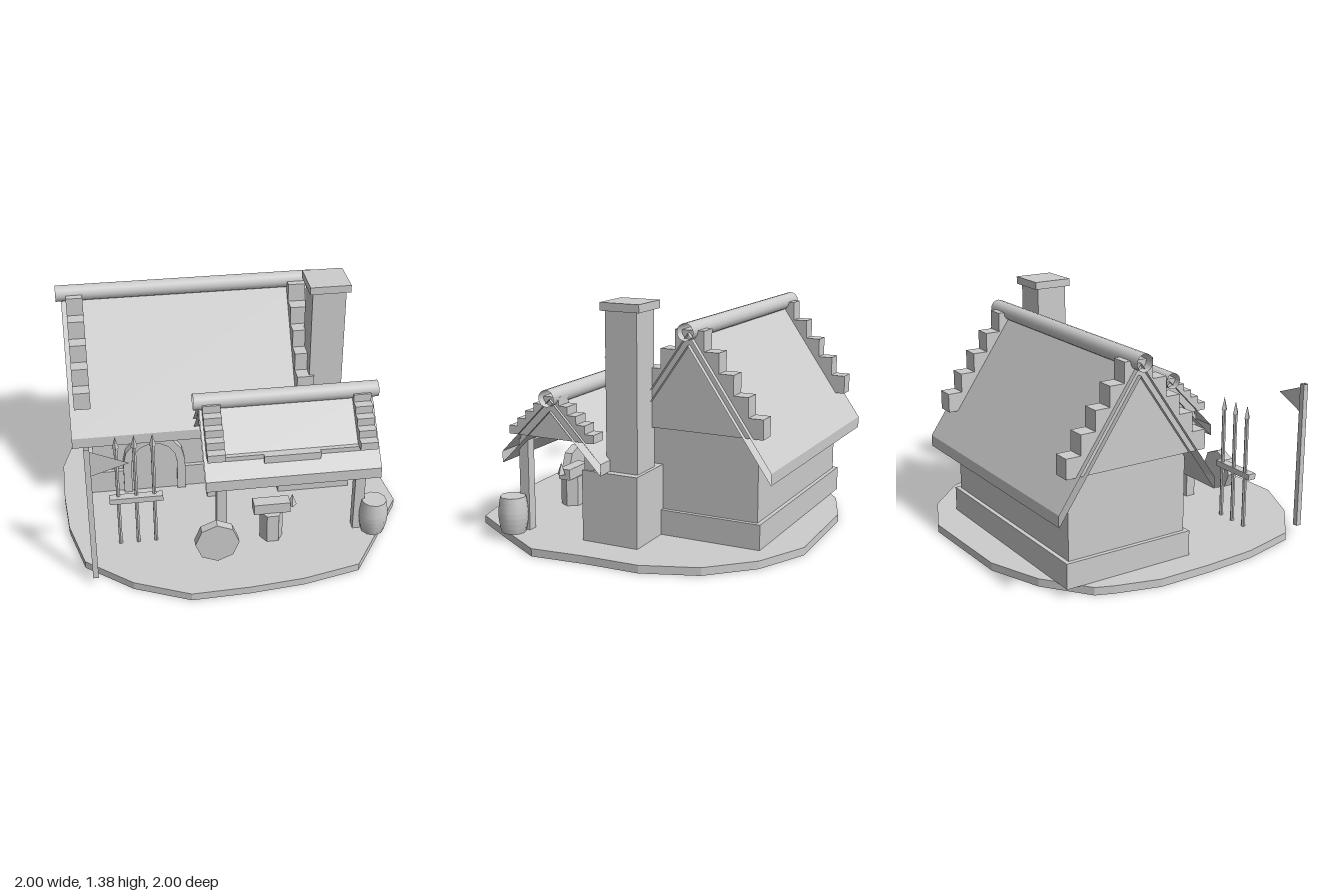
import * as THREE from 'three';

const grey = new THREE.MeshStandardMaterial({ color: 0xcccccc });
grey.name = 'grey';
const greySheet = new THREE.MeshStandardMaterial({ color: 0xcccccc, side: THREE.DoubleSide });
greySheet.name = 'greySheet';

export function createModel() {
  const model = new THREE.Group();
  const ground = 0.045;

  function add(name, geometry, material = grey) {
    const mesh = new THREE.Mesh(geometry, material);
    mesh.name = name;
    model.add(mesh);
    return mesh;
  }

  // Faceted copy of a round geometry
  function facet(geometry) {
    const g = geometry.toNonIndexed();
    g.computeVertexNormals();
    return g;
  }

  // Box given by its limits on each axis
  function box(name, x0, x1, y0, y1, z0, z1) {
    const g = new THREE.BoxGeometry(x1 - x0, y1 - y0, z1 - z0);
    return add(name, g.translate((x0 + x1) / 2, (y0 + y1) / 2, (z0 + z1) / 2));
  }

  // Solid with a (z, y) outline running along x
  function prism(outline, x0, x1) {
    const shape = new THREE.Shape(outline.map(([z, y]) => new THREE.Vector2(z, y)));
    const g = new THREE.ExtrudeGeometry(shape, { depth: x1 - x0, bevelEnabled: false });
    return g.rotateY(-Math.PI / 2).translate(x1, 0, 0);
  }

  // Closed (z, y) outline swept along x, open at both ends
  function sleeve(name, outline, x0, x1) {
    const p = [];
    outline.forEach(([z, y], i) => {
      const [w, v] = outline[(i + 1) % outline.length];
      p.push(x0, y, z, x1, y, z, x1, v, w, x0, y, z, x1, v, w, x0, v, w);
    });
    const g = new THREE.BufferGeometry();
    g.setAttribute('position', new THREE.Float32BufferAttribute(p, 3));
    g.computeVertexNormals();
    return add(name, g, greySheet);
  }

  // Roof slabs and hollow ridge roll
  function roof(name, x0, x1, zc, half, eave, apex, ridgeY) {
    const t = 0.066;
    sleeve(name, [
      [zc + half, eave], [zc, apex], [zc - half, eave],
      [zc - half, eave - t], [zc, apex - t], [zc + half, eave - t],
    ], x0, x1);
    const roll = new THREE.CylinderGeometry(0.048, 0.048, x1 - x0 + 0.062, 16, 1, true);
    add(name + 'Ridge', roll.rotateZ(Math.PI / 2).translate((x0 + x1) / 2, ridgeY, zc), greySheet);
  }

  // Stepped gable: five courses narrowing to the top, open underneath
  function steppedGable(name, x0, x1, zc, step, y0, y1) {
    const right = [];
    for (let i = 0; i < 5; i++) {
      const w = step * (5 - i);
      right.push([w, y0 + (y1 - y0) * i / 5], [w, y0 + (y1 - y0) * (i + 1) / 5]);
    }
    const left = right.map(([z, y]) => [-z, y]).reverse();
    const solid = prism([...right, ...left].map(([z, y]) => [zc + z, y]), x0, x1);
    const p = solid.attributes.position;
    const kept = [];
    for (let i = 0; i < p.count; i += 3) {
      const corners = [i, i + 1, i + 2];
      if (corners.every((k) => p.getY(k) < y0 + 1e-4)) continue;
      for (const k of corners) kept.push(p.getX(k), p.getY(k), p.getZ(k));
    }
    const g = new THREE.BufferGeometry();
    g.setAttribute('position', new THREE.Float32BufferAttribute(kept, 3));
    g.computeVertexNormals();
    add(name, g);
  }

  // Ground slab
  const rim = [
    [-0.33, -0.98], [0.31, -1], [0.615, -0.862], [0.845, -0.63], [0.962, -0.32], [0.97, 0],
    [1, 0.32], [0.8, 0.64], [0.64, 0.885], [0.31, 0.96], [0, 0.99], [-0.33, 1],
    [-0.64, 0.86], [-0.9, 0.64], [-0.98, 0.31], [-1, 0], [-1, -0.32], [-0.93, -0.57],
    [-0.89, -0.67], [-0.64, -0.862],
  ];
  const slab = new THREE.Shape(rim.map(([x, z]) => new THREE.Vector2(x, -z)));
  add('ground', new THREE.ExtrudeGeometry(slab, { depth: ground, bevelEnabled: false }).rotateX(-Math.PI / 2));

  // Main house
  box('plinth', -0.835, 0.468, ground, 0.19, -0.803, -0.015);
  box('walls', -0.81, 0.442, 0.19, 0.68, -0.778, -0.04);
  add('gableWalls', prism([[-0.04, 0.68], [-0.409, 1.2], [-0.778, 0.68]].reverse(), -0.81, 0.442));
  roof('mainRoof', -0.928, 0.564, -0.41, 0.49, 0.513, 1.222, 1.231);
  steppedGable('leftMainGable', 0.432, 0.534, -0.407, 0.0865, 0.68, 1.235);
  steppedGable('rightMainGable', -0.9, -0.802, -0.407, 0.0865, 0.68, 1.235);

  // Arched doorway: frame and door leaf
  function arch(r) {
    const pts = [[r, ground]];
    for (let i = 0; i <= 7; i++) {
      const a = Math.PI * i / 7;
      pts.push([r * Math.cos(a), 0.25 + r * Math.sin(a)]);
    }
    pts.push([-r, ground]);
    return pts.map(([x, y]) => new THREE.Vector2(x - 0.44, y));
  }
  const frame = new THREE.Shape(arch(0.19));
  frame.holes.push(new THREE.Path(arch(0.14).reverse()));
  add('doorFrame', new THREE.ExtrudeGeometry(frame, { depth: 0.06, bevelEnabled: false }).translate(0, 0, -0.05));
  add('door', new THREE.ExtrudeGeometry(new THREE.Shape(arch(0.14)), { depth: 0.04, bevelEnabled: false }).translate(0, 0, -0.05));

  // Forge and chimney
  box('forge', 0.31, 0.752, ground, 0.45, -0.203, 0.14);
  box('forgeMouth', 0.432, 0.637, 0.228, 0.353, 0.13, 0.155);
  box('chimney', 0.507, 0.705, 0.45, 1.338, -0.182, 0.01);
  box('chimneyCap', 0.487, 0.727, 1.335, 1.38, -0.207, 0.03);

  // Open workshop
  roof('workshopRoof', -0.2, 0.81, 0.307, 0.318, 0.513, 0.84, 0.851);
  steppedGable('leftWorkshopGable', 0.69, 0.792, 0.313, 0.0545, 0.617, 0.853);
  steppedGable('rightWorkshopGable', -0.183, -0.08, 0.313, 0.0545, 0.617, 0.853);
  for (const x of [-0.13, 0.68]) {
    box('frontPost', x, x + 0.06, ground, 0.578, 0.5, 0.56);
    box('backPost', x, x + 0.06, ground, 0.575, 0.07, 0.13);
  }
  box('frontBeam', -0.13, 0.74, 0.56, 0.62, 0.505, 0.548);
  box('backBeam', -0.13, 0.74, 0.56, 0.617, 0.105, 0.13);
  box('beamBoard', 0.14, 0.465, 0.575, 0.62, 0.51, 0.572);
  for (const x of [0.03, 0.21]) box('hangingTool', x, x + 0.025, 0.32, 0.56, -0.03, -0.01);

  // Anvil on a stump
  const stump = new THREE.CylinderGeometry(0.068, 0.068, 0.18, 6).rotateY(Math.PI / 6);
  add('stump', facet(stump.translate(0.19, ground + 0.09, 0.553)));
  box('anvil', 0.085, 0.297, 0.222, 0.288, 0.505, 0.58);
  add('anvilHorn', facet(new THREE.ConeGeometry(0.028, 0.075, 4).translate(0.31, 0.295, 0.555)));

  // Barrel: stacked rings that bulge in the middle
  const radii = [0.07, 0.077, 0.082, 0.085, 0.085, 0.082, 0.078, 0.073];
  const ringHeight = 0.03;
  for (let i = 0; i < radii.length - 1; i++) {
    const ring = new THREE.CylinderGeometry(radii[i + 1], radii[i], ringHeight, 10);
    add('barrelRing', ring.translate(0.795, ground + ringHeight * (i + 0.5), 0.573));
  }

  // Octagonal shield
  add('shield', facet(new THREE.CylinderGeometry(0.125, 0.125, 0.055, 8).rotateX(Math.PI / 2)).translate(-0.155, 0.19, 0.738));

  // Spear rack
  box('spearRack', -0.737, -0.433, 0.348, 0.383, 0.483, 0.532);
  for (const x of [-0.686, -0.583, -0.48]) {
    add('spearShaft', facet(new THREE.CylinderGeometry(0.012, 0.012, 0.67, 6)).translate(x, ground + 0.335, 0.497));
    add('spearTip', facet(new THREE.ConeGeometry(0.02, 0.075, 4)).translate(x, 0.747, 0.497));
  }

  // Flagpole and pennant, slightly turned by the wind
  const pole = new THREE.CylinderGeometry(0.022, 0.022, 0.865, 4, 1, true).rotateY(Math.PI / 4);
  add('flagpole', facet(pole).translate(-0.845, ground + 0.4325, 0.775), greySheet);
  const pennant = new THREE.Shape([[0, 0.89], [0, 0.73], [0.21, 0.808]].map(([x, y]) => new THREE.Vector2(x, y)));
  add('pennant', new THREE.ShapeGeometry(pennant).rotateY(-0.07).translate(-0.835, 0, 0.775), greySheet);

  return model;
}
